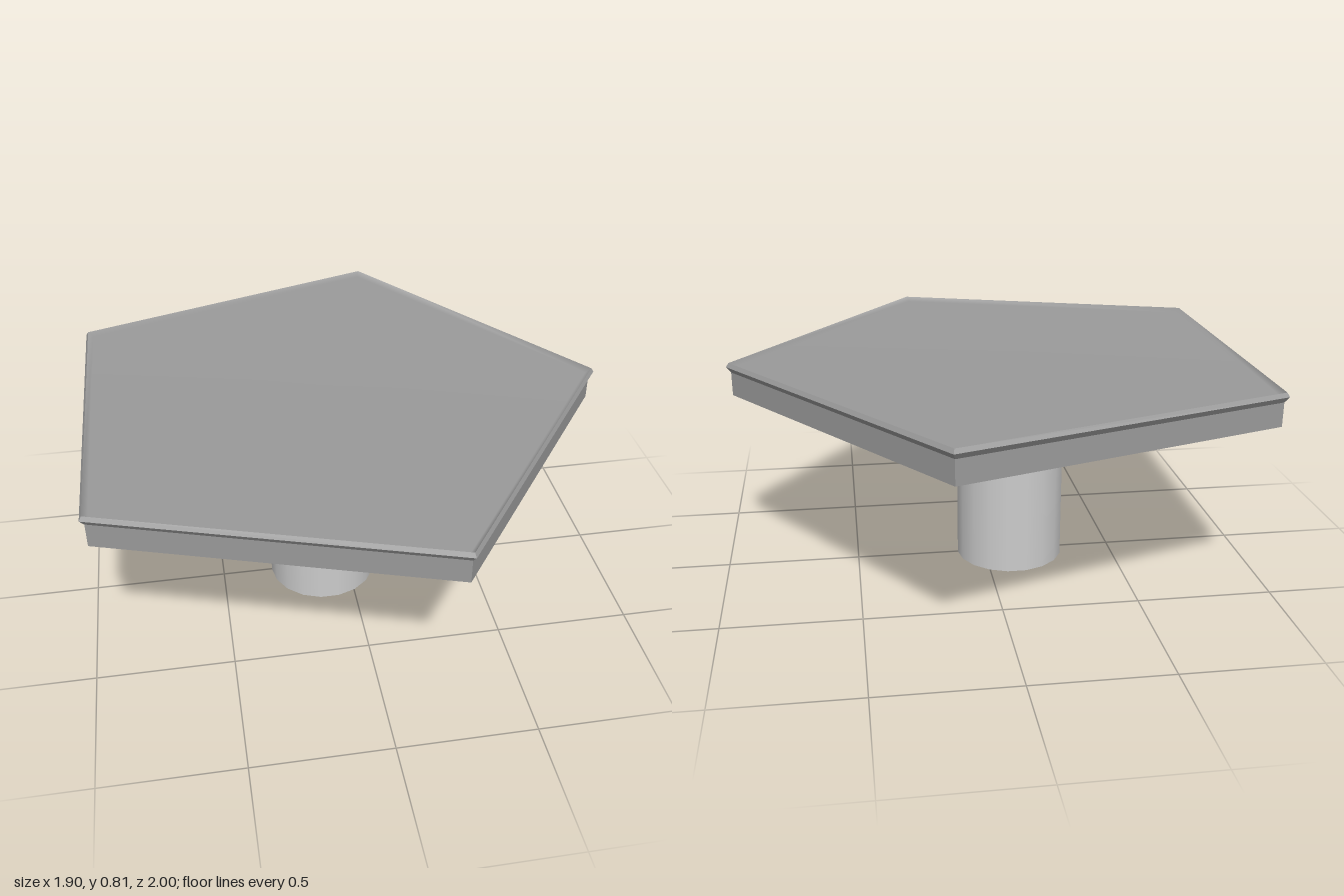
import * as THREE from 'three';
import { mergeVertices } from 'three/addons/utils/BufferGeometryUtils.js';

const CENTRE_X = -0.1005;
const SLAB_BOTTOM = 0.691;
const RIDGE = [1.041, 0.814]; // highest line of the rim: corner radius, height

// Five-sided lathe with one corner pointing to +x
function pentagon(profile) {
  const points = profile.map(([r, y]) => new THREE.Vector2(r, y));
  return new THREE.LatheGeometry(points, 5, Math.PI / 2);
}

export function createModel() {
  const group = new THREE.Group();
  group.name = 'pentagonTable';

  const darkFlat = new THREE.MeshStandardMaterial({ color: 0x9a9a9a, flatShading: true });
  const darkSmooth = new THREE.MeshStandardMaterial({ color: 0x9a9a9a });
  const light = new THREE.MeshStandardMaterial({ color: 0xcccccc });

  const add = (name, geometry, material, y = 0) => {
    const mesh = new THREE.Mesh(geometry, material);
    mesh.name = name;
    mesh.position.set(CENTRE_X, y, 0);
    group.add(mesh);
  };

  // Underside, straight sides and flared rim
  add('slab', pentagon([
    [0, SLAB_BOTTOM], [1.034, SLAB_BOTTOM], [1.034, 0.778], [1.0515, 0.799], RIDGE,
  ]), darkFlat);

  // Shallow recessed top, softly shaded into the inner slope of the rim
  const recess = pentagon([RIDGE, [1.019, 0.797], [0, 0.797]]);
  recess.deleteAttribute('uv');
  recess.deleteAttribute('normal');
  const top = mergeVertices(recess);
  top.computeVertexNormals();
  add('tableTop', top, darkSmooth);

  // Round central column
  add('pedestal',
    new THREE.CylinderGeometry(0.206, 0.206, SLAB_BOTTOM, 18, 1, false, Math.PI / 2),
    light, SLAB_BOTTOM / 2);

  return group;
}
